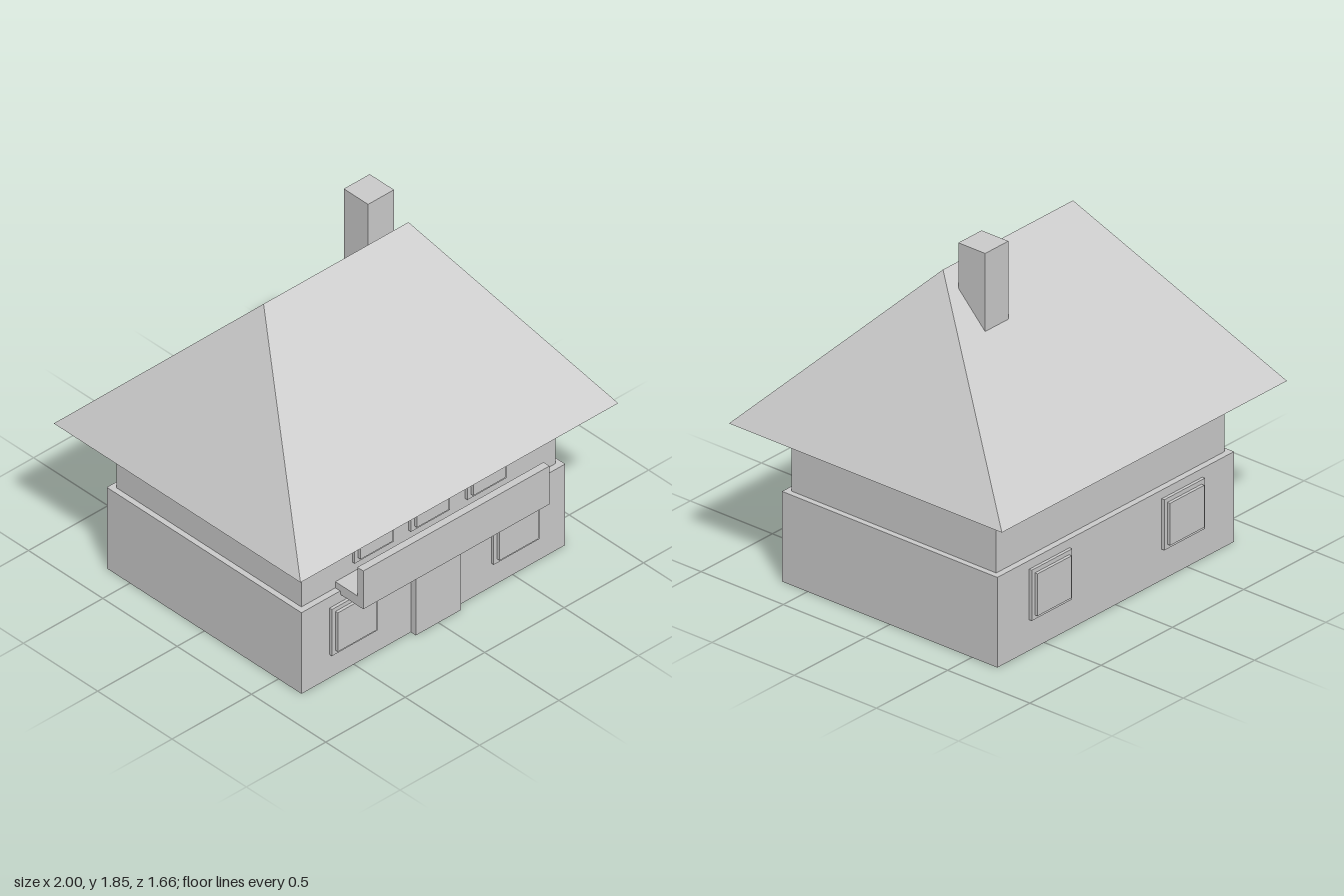
import * as THREE from 'three';

export function createModel() {
  const house = new THREE.Group();
  house.name = 'house';
  const plaster = new THREE.MeshStandardMaterial({ color: 0xcccccc });
  plaster.name = 'plainGrey';

  // Box given by its limits on each axis
  function box(name, x0, x1, y0, y1, z0, z1) {
    const mesh = new THREE.Mesh(new THREE.BoxGeometry(x1 - x0, y1 - y0, z1 - z0), plaster);
    mesh.position.set((x0 + x1) / 2, (y0 + y1) / 2, (z0 + z1) / 2);
    mesh.name = name;
    house.add(mesh);
    return mesh;
  }

  // Stepped window: wide frame with a smaller raised pane; side is +1 front, -1 back
  function windowAt(name, x, y, w, h, wallZ, side) {
    const layer = (part, inset, depth) => {
      const a = side * (wallZ - 0.01), b = side * (wallZ + depth);
      box(name + part, x - w / 2 + inset, x + w / 2 - inset,
        y - h / 2 + inset, y + h / 2 - inset, Math.min(a, b), Math.max(a, b));
    };
    layer('Frame', 0, 0.016);
    layer('Pane', 0.022, 0.032);
  }

  // Walls
  box('lowerWalls', -0.83, 0.83, 0, 0.467, -0.655, 0.655);
  box('upperWalls', -0.8, 0.8, 0.467, 0.826, -0.622, 0.622);

  // Door
  box('door', -0.142, 0.142, 0, 0.403, 0.64, 0.689);

  // Windows
  for (const s of [-1, 1]) {
    windowAt('frontWindow', s * 0.509, 0.269, 0.288, 0.268, 0.655, 1);
    windowAt('backWindow', s * 0.465, 0.291, 0.284, 0.262, 0.655, -1);
  }
  for (const x of [-0.357, -0.002, 0.353]) {
    windowAt('upperWindow', x, 0.68, 0.245, 0.24, 0.622, 1);
  }

  // Balcony: floor and front rail, open at the ends
  box('balconyFloor', -0.586, 0.586, 0.447, 0.502, 0.61, 0.775);
  box('balconyRail', -0.586, 0.586, 0.447, 0.667, 0.77, 0.81);

  // Hipped roof: a box whose top is drawn in to the ridge
  const eaves = 0.826, ridge = 1.692;
  const roofShape = new THREE.BoxGeometry(2, ridge - eaves, 1.66).toNonIndexed();
  const p = roofShape.attributes.position;
  for (let i = 0; i < p.count; i++) {
    if (p.getY(i) > 0) {
      p.setX(i, Math.sign(p.getX(i)) * 0.456);
      p.setZ(i, 0);
    }
  }
  roofShape.computeVertexNormals();
  const roof = new THREE.Mesh(roofShape, plaster);
  roof.position.y = (eaves + ridge) / 2;
  roof.name = 'roof';
  house.add(roof);

  // Chimney on the rear slope
  box('chimney', 0.272, 0.435, 1.4, 1.848, -0.238, -0.075);

  return house;
}
